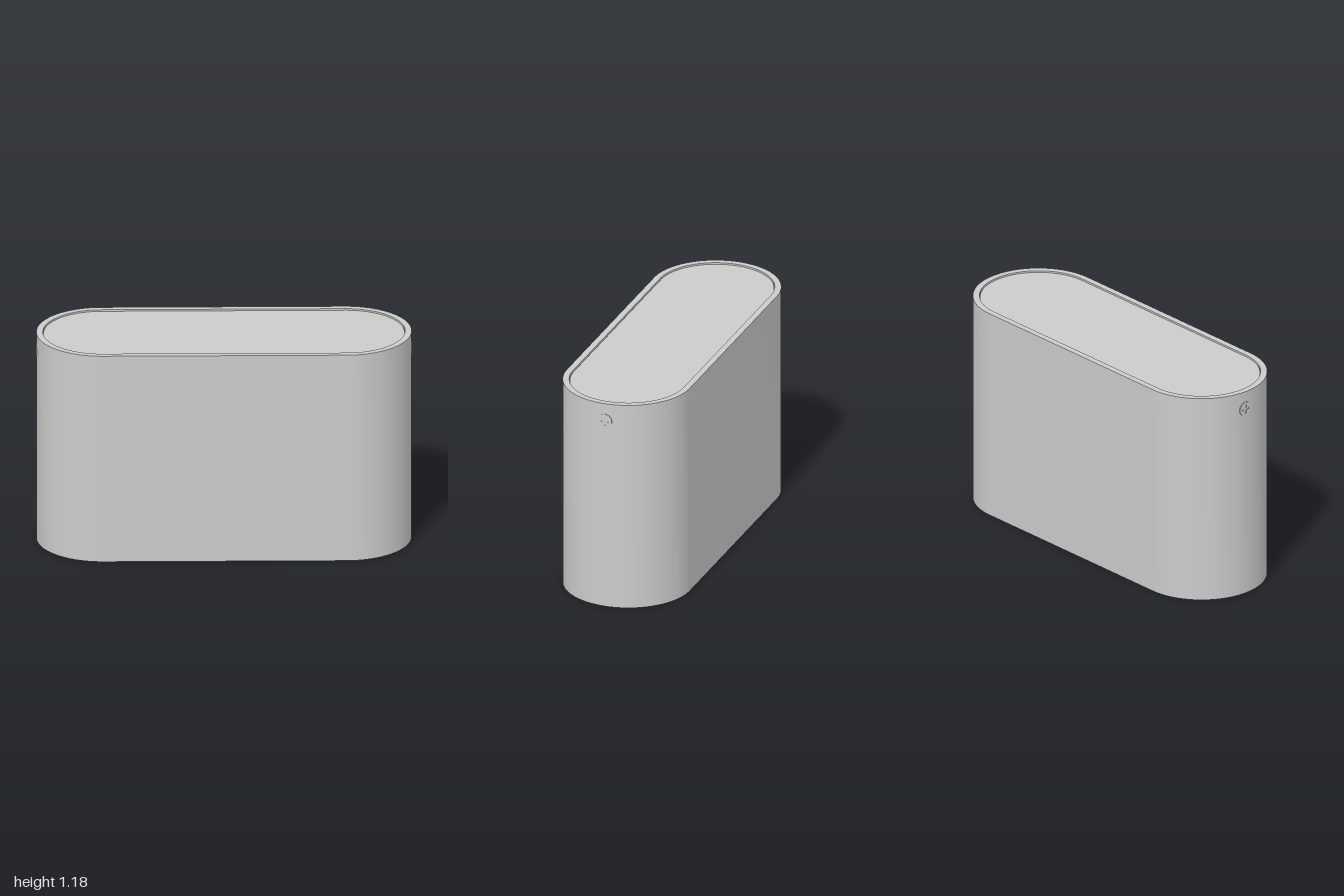
import * as THREE from 'three';
import { toCreasedNormals } from 'three/addons/utils/BufferGeometryUtils.js';

const H = 1.18, R = 0.35, HALF = 0.65, WALL = 0.035;

// Rounded-end outline: two half circles of radius r joined by straight sides
function stadium(r, Type = THREE.Shape) {
  const s = new Type();
  s.moveTo(-HALF, -r);
  s.lineTo(HALF, -r);
  s.absarc(HALF, 0, r, -Math.PI / 2, Math.PI / 2, false);
  s.lineTo(-HALF, r);
  s.absarc(-HALF, 0, r, Math.PI / 2, Math.PI * 1.5, false);
  return s;
}

// Extrude a plan outline upwards between two heights
function slab(shape, y0, y1) {
  const g = new THREE.ExtrudeGeometry(shape, { depth: y1 - y0, bevelEnabled: false, curveSegments: 32 });
  g.rotateX(-Math.PI / 2).translate(0, y0, 0);
  return toCreasedNormals(g, 0.6);
}

function lathe(points) {
  const g = new THREE.LatheGeometry(points.map(([r, y]) => new THREE.Vector2(r, y)), 48);
  return toCreasedNormals(g, 0.5);
}

function createModel() {
  const model = new THREE.Group();
  const grey = new THREE.MeshStandardMaterial({ color: 0xcccccc });
  const beige = new THREE.MeshStandardMaterial({ color: 0xb8aa9a, side: THREE.DoubleSide });
  const bezel = new THREE.MeshStandardMaterial({ color: 0x5c554d, side: THREE.DoubleSide });
  const black = new THREE.MeshStandardMaterial({ color: 0x0a0a0a });

  const add = (parent, name, geometry, material) => {
    const mesh = new THREE.Mesh(geometry, material);
    mesh.name = name;
    parent.add(mesh);
    return mesh;
  };

  // Open tube housing
  const tube = stadium(R);
  tube.holes.push(stadium(R - WALL, THREE.Path));
  add(model, 'housing', slab(tube, 0, H), grey);

  // Mounting plate set just below the top edge
  add(model, 'mountingPlate', slab(stadium(R - WALL - 0.003), H - 0.04, H - 0.008), grey);

  // Two downward lamps
  for (const side of [-1, 1]) {
    const lamp = new THREE.Group();
    lamp.name = side > 0 ? 'leftLamp' : 'rightLamp';
    lamp.position.set(side * 0.5, 0.07, 0);
    model.add(lamp);

    // Tapered reflector body and its neck
    add(lamp, 'lampBody', lathe([
      [0.25, 0.03], [0.245, 0.1], [0.225, 0.2], [0.19, 0.3], [0.15, 0.37],
      [0.15, 0.55], [0.13, 0.58], [0, 0.58],
    ]), beige);

    // Ring around the lens
    add(lamp, 'lampRim', lathe([
      [0.258, 0.012], [0.258, 0], [0.275, 0], [0.282, 0.007], [0.282, 0.033], [0.275, 0.04], [0.245, 0.04],
    ]), bezel);

    const lens = add(lamp, 'lens', new THREE.CircleGeometry(0.26, 48), black);
    lens.rotation.x = Math.PI / 2;
    lens.position.y = 0.006;

    // Socket reaching up to the mounting plate
    const socket = add(lamp, 'socket', new THREE.CylinderGeometry(0.12, 0.12, 0.5, 32), grey);
    socket.position.y = 0.82;
  }

  // Cross-head screws, one in each rounded end
  const head = new THREE.Shape();
  head.absarc(0, 0, 0.04, 0, Math.PI * 2, false);
  const cross = new THREE.Path();
  const a = 0.025, b = 0.005;
  cross.setFromPoints([
    [a, -b], [a, b], [b, b], [b, a], [-b, a], [-b, b],
    [-a, b], [-a, -b], [-b, -b], [-b, -a], [b, -a], [b, -b], [a, -b],
  ].map(([x, y]) => new THREE.Vector2(x, y)));
  head.holes.push(cross);
  const headGeometry = toCreasedNormals(
    new THREE.ExtrudeGeometry(head, { depth: 0.012, bevelEnabled: false, curveSegments: 20 }), 0.6);

  for (const side of [-1, 1]) {
    const screw = new THREE.Group();
    screw.name = side > 0 ? 'leftScrew' : 'rightScrew';
    screw.position.set(side * 0.99, 1.08, 0);
    screw.rotation.y = side * Math.PI / 2;
    model.add(screw);
    add(screw, 'screwHead', headGeometry, grey);
    const shank = add(screw, 'screwShank', new THREE.CylinderGeometry(0.02, 0.02, 0.07, 16), grey);
    shank.rotation.x = Math.PI / 2;
    shank.position.z = -0.035;
  }

  return model;
}

export { createModel };
